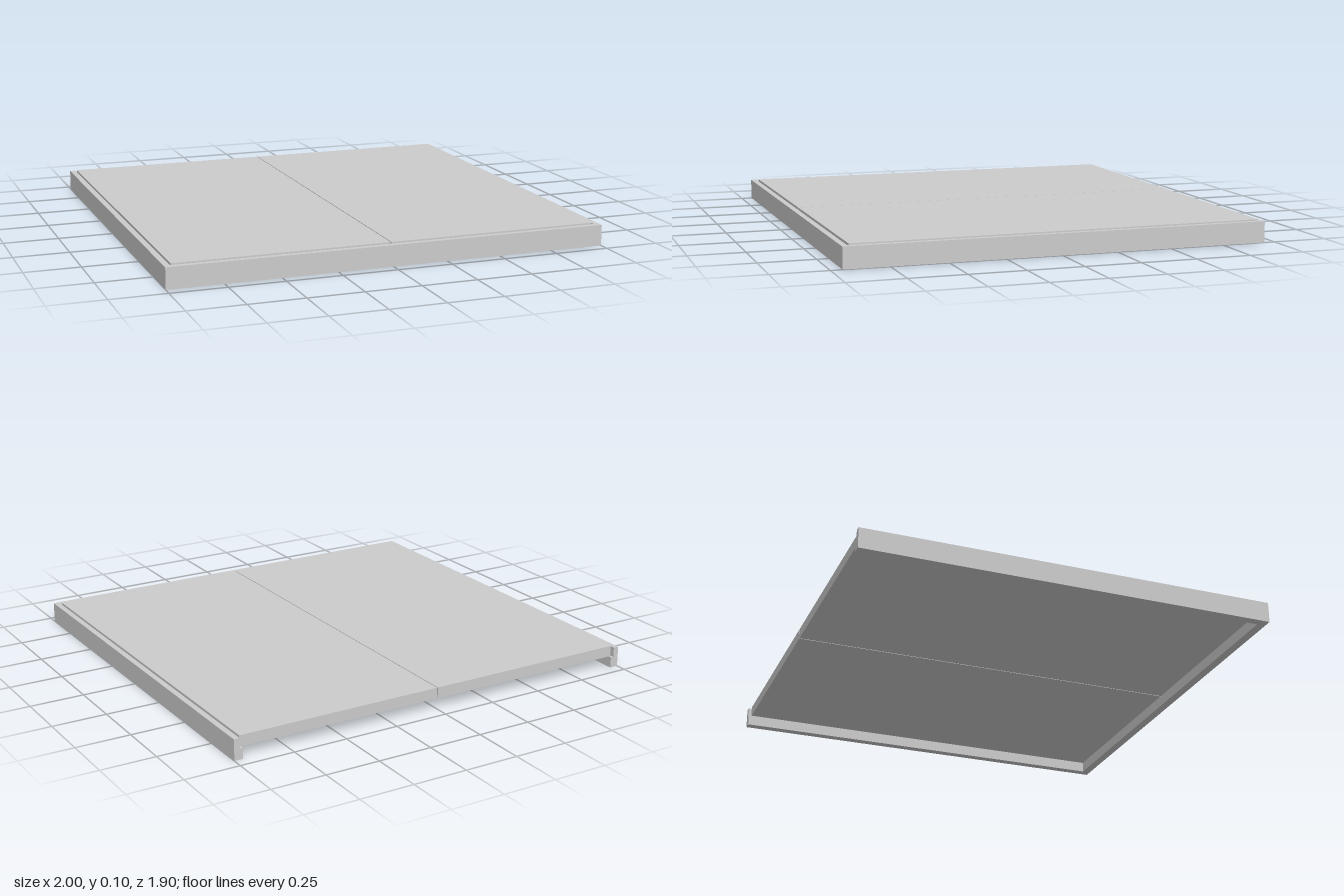
import * as THREE from 'three';

const material = new THREE.MeshStandardMaterial({ color: 0xcccccc, flatShading: true });

// Three-sided rim: a rebated section (inset, height) swept round mitred corners
function rimGeometry() {
  const section = [[0, 0], [0.04, 0], [0.04, 0.05], [0.026, 0.05], [0.026, 0.095], [0, 0.095]];
  const stations = [
    (d, y) => [-1 + d, y, -0.95],
    (d, y) => [-1 + d, y, 0.95 - d],
    (d, y) => [1 - d, y, 0.95 - d],
    (d, y) => [1 - d, y, -0.95],
  ];
  const rings = stations.map((place) => section.map(([d, y]) => place(d, y)));
  const positions = [];
  const tri = (a, b, c) => positions.push(...a, ...b, ...c);

  for (let s = 0; s < rings.length - 1; s++) {
    for (let i = 0; i < section.length; i++) {
      const j = (i + 1) % section.length;
      tri(rings[s][i], rings[s][j], rings[s + 1][j]);
      tri(rings[s][i], rings[s + 1][j], rings[s + 1][i]);
    }
  }

  // End caps at the open back
  const outline = section.map(([d, y]) => new THREE.Vector2(d, y));
  const first = rings[0], last = rings[rings.length - 1];
  for (const [a, b, c] of THREE.ShapeUtils.triangulateShape(outline, [])) {
    tri(first[c], first[b], first[a]);
    tri(last[a], last[b], last[c]);
  }

  const geometry = new THREE.BufferGeometry();
  geometry.setAttribute('position', new THREE.Float32BufferAttribute(positions, 3));
  geometry.computeVertexNormals();
  return geometry;
}

export function createModel() {
  const model = new THREE.Group();
  model.name = 'framedPlatform';

  const rim = new THREE.Mesh(rimGeometry(), material);
  rim.name = 'rim';
  model.add(rim);

  // Two deck boards resting on the rebate, with a fine seam between them
  const seam = 0.002, edge = 0.968, back = -0.935, front = 0.916;
  for (const side of [-1, 1]) {
    const board = new THREE.Mesh(new THREE.BoxGeometry(edge - seam, 0.05, front - back), material);
    board.name = side > 0 ? 'leftBoard' : 'rightBoard';
    board.position.set(side * (edge + seam) / 2, 0.075, (front + back) / 2);
    model.add(board);
  }
  return model;
}
